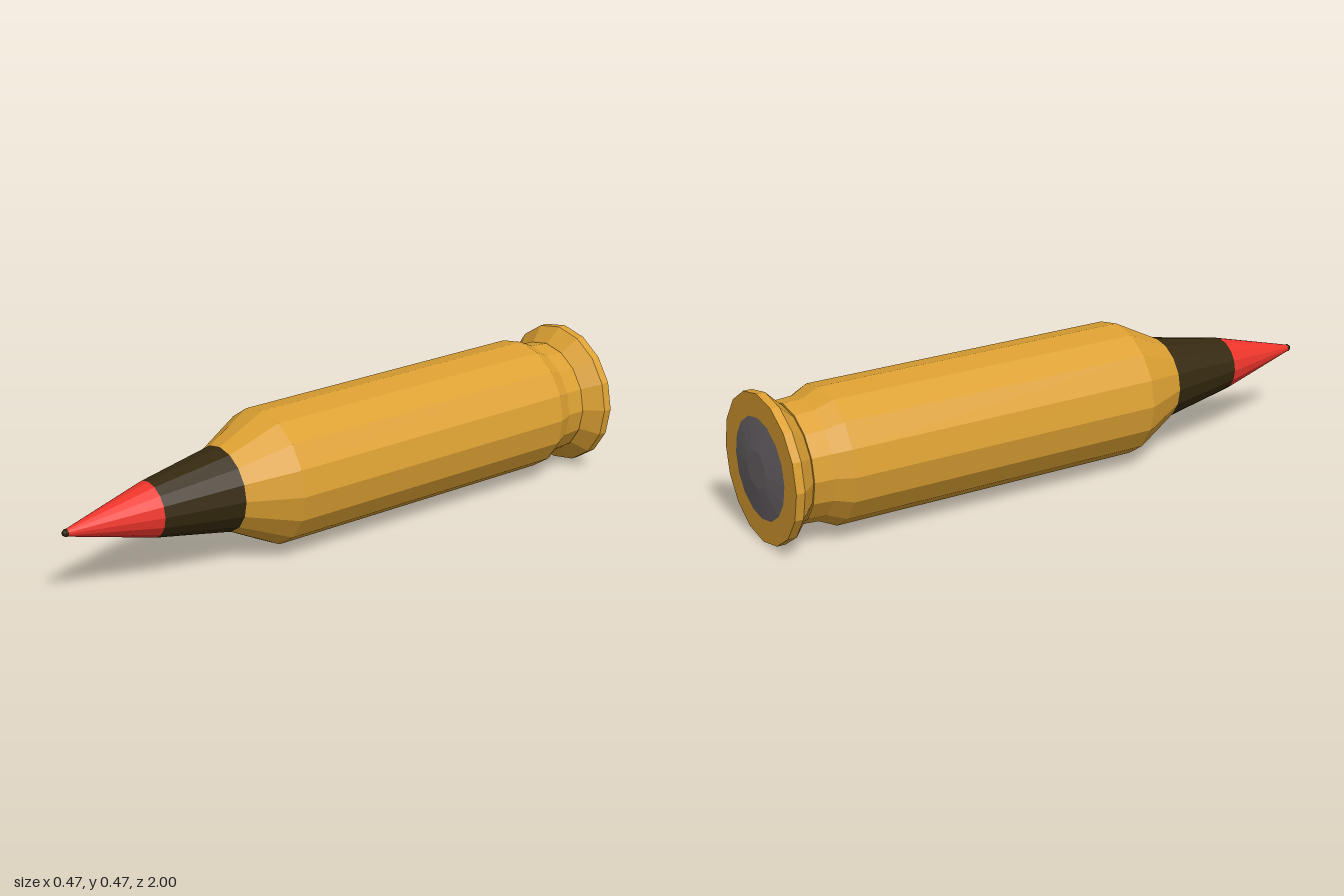
import * as THREE from 'three';

const SIDES = 16;
const AXIS_Y = 0.234;

// Turned part along z: profile is a list of [radius, z] from back to front.
function turned(name, color, profile) {
  const points = profile.map(([r, z]) => new THREE.Vector2(r, z));
  const geometry = new THREE.LatheGeometry(points, SIDES);
  geometry.rotateX(Math.PI / 2);
  const material = new THREE.MeshStandardMaterial({ color, flatShading: true });
  const mesh = new THREE.Mesh(geometry, material);
  mesh.name = name;
  mesh.position.y = AXIS_Y;
  return mesh;
}

export function createModel() {
  const group = new THREE.Group();
  group.name = 'cartridge';

  const brass = 0xdca032;
  const dark = 0x35290f;

  group.add(
    // slightly domed disc in the base
    turned('primer', 0x6c666a, [[0, -1], [0.06, -1], [0.16, -0.989]]),
    // base flange, tapering into the extractor groove
    turned('rim', brass, [[0, -0.988], [0.234, -0.988], [0.234, -0.96], [0.18, -0.905]]),
    // groove, straight body and shoulder
    turned('casing', brass, [
      [0.18, -0.905], [0.187, -0.905], [0.191, -0.84], [0.217, -0.785],
      [0.217, 0.28], [0.136, 0.44],
    ]),
    // projectile
    turned('bulletBody', dark, [[0.136, 0.44], [0.088, 0.7]]),
    turned('bulletNose', 0xee352c, [[0.088, 0.7], [0.012, 0.985]]),
    turned('bulletTip', dark, [[0.012, 0.985], [0.012, 0.992], [0.006, 1], [0, 1]]),
  );
  return group;
}
